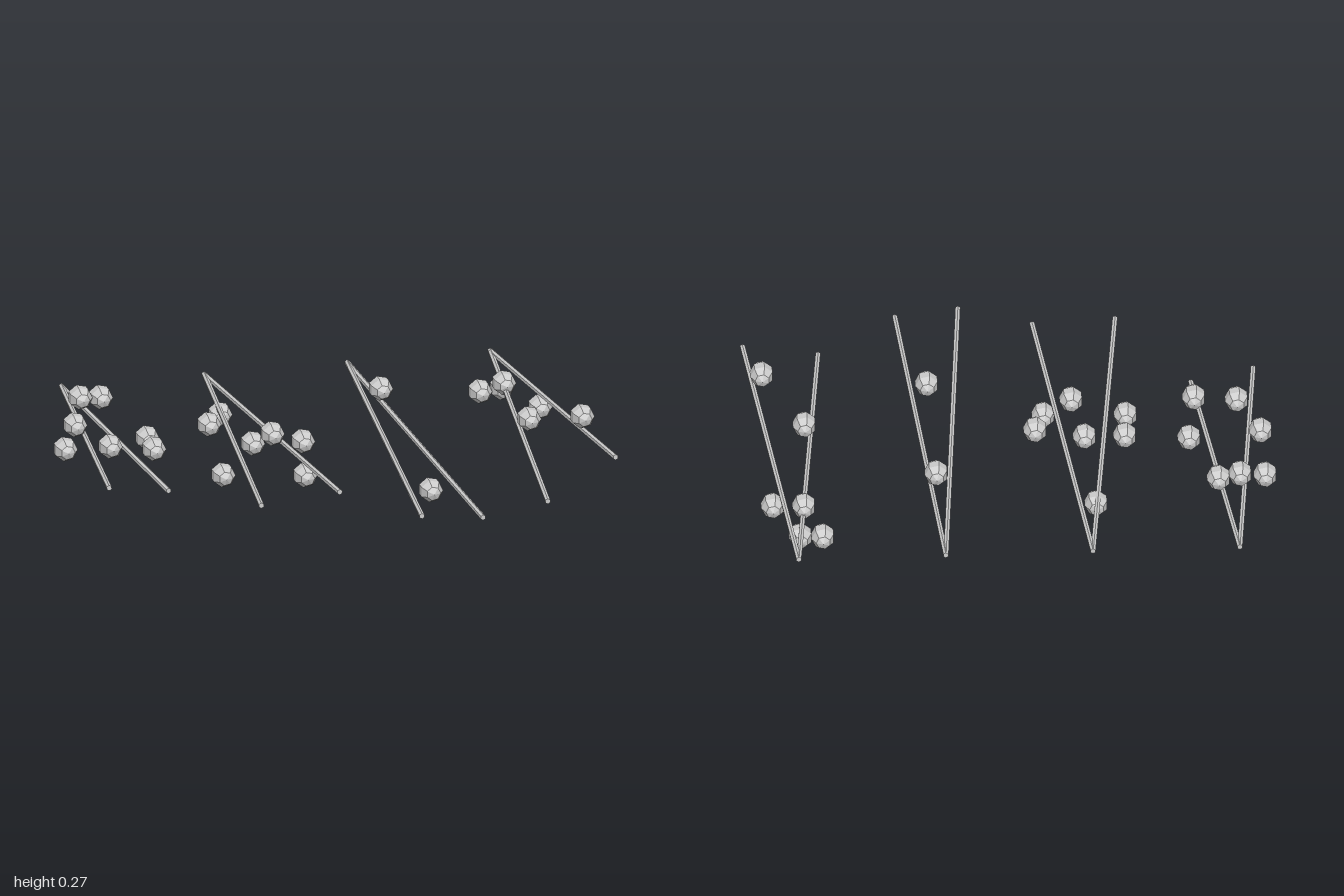
import * as THREE from 'three';

export function createModel() {
  const model = new THREE.Group();
  model.name = 'rodsAndPebbles';
  const grey = new THREE.MeshStandardMaterial({ color: 0xcccccc, flatShading: true });
  grey.name = 'light grey';

  // Thin straight rod between two points
  function rod(name, a, b, r = 0.011) {
    const dir = b.clone().sub(a);
    const mesh = new THREE.Mesh(new THREE.CylinderGeometry(r, r, dir.length(), 6), grey);
    mesh.name = name;
    mesh.position.copy(a).add(b).multiplyScalar(0.5);
    mesh.quaternion.setFromUnitVectors(new THREE.Vector3(0, 1, 0), dir.normalize());
    return mesh;
  }

  // Faceted pebble, stretched along z
  const pebbleGeo = new THREE.SphereGeometry(0.047, 7, 5);
  pebbleGeo.rotateY(Math.PI).rotateX(Math.PI / 2).scale(1, 1, 1.28);

  // Each cluster: apex x, two rod ends and its pebbles, as [x, y, z]
  const clusters = [
    { apex: -0.83, ends: [[-0.945, 0.132, 0.354], [-0.706, 0.092, 0.329]],
      pebbles: [[-0.957, 0.067, -0.296], [-0.945, 0.2, -0.191], [-0.851, 0.2, -0.491],
        [-0.768, 0.19, -0.501], [-0.675, 0.143, -0.139], [-0.866, 0.189, 0.049], [-0.705, 0.179, 0.087]] },
    { apex: -0.271, ends: [[-0.438, 0.142, 0.714], [-0.12, 0.155, 0.671]],
      pebbles: [[-0.303, 0.085, -0.491], [-0.43, 0.171, -0.154], [-0.281, 0.113, -0.063],
        [-0.095, 0.121, -0.02], [-0.237, 0.195, 0.071], [-0.448, 0.072, 0.146], [-0.137, 0.057, 0.183]] },
    { apex: 0.289, ends: [[0.152, 0.104, 0.872], [0.392, 0.077, 0.869]],
      pebbles: [[0.3, 0.174, -0.386], [0.293, 0.049, 0.437]] },
    { apex: 0.849, ends: [[0.695, 0.047, 0.667], [0.988, 0.162, 0.557]],
      pebbles: [[0.744, 0.047, -0.611], [0.829, 0.053, -0.613], [0.81, 0.115, -0.499],
        [0.923, 0.047, -0.386], [0.781, 0.15, 0.017], [0.931, 0.23, 0.255]] },
  ];

  clusters.forEach((c, i) => {
    const group = new THREE.Group();
    group.name = `cluster${i + 1}`;
    const apex = new THREE.Vector3(c.apex, 0.112, -0.872);
    c.ends.forEach((e, k) => group.add(rod(k ? 'leftRod' : 'rightRod', apex, new THREE.Vector3(...e))));
    c.pebbles.forEach((p, k) => {
      const pebble = new THREE.Mesh(pebbleGeo, grey);
      pebble.name = `pebble${k + 1}`;
      pebble.position.set(...p);
      group.add(pebble);
    });
    model.add(group);
  });
  return model;
}
